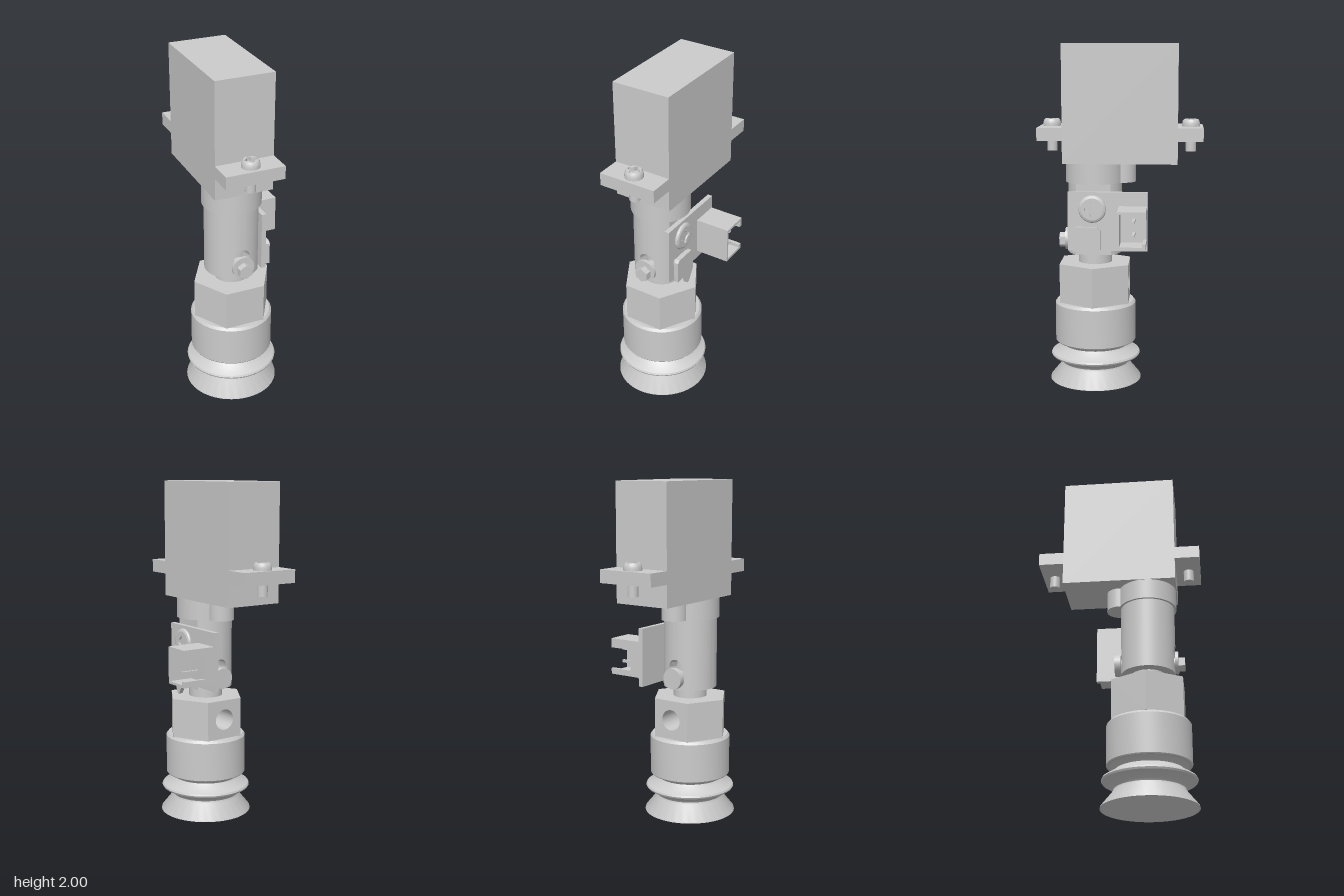
import * as THREE from 'three';
import { toCreasedNormals } from 'three/addons/utils/BufferGeometryUtils.js';

const AX = -0.042, AZ = 0.155; // vertical axis of the plunger and cup
const grey = new THREE.MeshStandardMaterial({ color: 0xcccccc, side: THREE.DoubleSide });
const V = (x, y) => new THREE.Vector2(x, y);
const poly = pts => new THREE.Shape(pts.map(p => V(p[0], p[1])));

function add(parent, name, geo, x = 0, y = 0, z = 0) {
  const m = new THREE.Mesh(geo, grey);
  m.name = name;
  m.position.set(x, y, z);
  parent.add(m);
  return m;
}
// box from its minimum and maximum corners
function box(parent, name, a, b) {
  const s = b.map((v, i) => v - a[i]);
  return add(parent, name, new THREE.BoxGeometry(...s), ...a.map((v, i) => v + s[i] / 2));
}
// upright cylinder from y0 to y1
const cyl = (parent, name, r, x, y0, y1, z) =>
  add(parent, name, new THREE.CylinderGeometry(r, r, y1 - y0, 48), x, (y0 + y1) / 2, z);
// cylinder along z from z0 to z1
function cylZ(parent, name, r, x, y, z0, z1, sides = 32) {
  const g = new THREE.CylinderGeometry(r, r, z1 - z0, sides).rotateX(Math.PI / 2);
  return add(parent, name, sides < 8 ? toCreasedNormals(g, 0.5) : g, x, y, (z0 + z1) / 2);
}
const lathe = pts => toCreasedNormals(new THREE.LatheGeometry(pts.map(p => V(...p)), 64), 0.5);
const extrude = (shape, depth) =>
  new THREE.ExtrudeGeometry(shape, { depth, bevelEnabled: false, curveSegments: 24 });

// rounded screw head with a cross recess, pointing up
function screwHead(name, r, h, crossLen) {
  const g = new THREE.Group();
  g.name = name;
  const top = r * 0.8, w = crossLen * 0.22;
  add(g, 'headRim', lathe([[0, 0], [r, 0], [r, h * 0.35], [r * 0.94, h * 0.75], [top, h]]));
  const face = new THREE.Shape().absarc(0, 0, top, 0, Math.PI * 2);
  const cross = new THREE.Path();
  for (let i = 0; i < 4; i++) {
    const a = i * Math.PI / 2, c = Math.cos(a), s = Math.sin(a);
    const p = (x, y) => [x * c - y * s, x * s + y * c];
    if (i === 0) cross.moveTo(...p(crossLen, -w));
    else cross.lineTo(...p(crossLen, -w));
    cross.lineTo(...p(crossLen, w));
    cross.quadraticCurveTo(...p(w * 1.3, w * 1.3), ...p(w, crossLen));
  }
  face.holes.push(cross);
  add(g, 'headFace', extrude(face, h * 0.6).rotateX(-Math.PI / 2), 0, h * 0.4, 0);
  add(g, 'recessFloor', new THREE.CircleGeometry(top, 32).rotateX(-Math.PI / 2), 0, h * 0.4, 0);
  return g;
}

// sleeve wall with a flat on +x and a rounded slot at front and back
function sleeveGeometry() {
  const R = 0.158, flat = 0.122, inner = 0.1, y0 = 0.78, y1 = 1.2, w = 0.05, lo = 0.85, hi = 0.91;
  const s = Math.asin(w / R), angles = [], pos = [];
  for (let side = 0; side < 2; side++) {
    const c = side * Math.PI;
    for (let i = 0; i < 12; i++) angles.push(c - s + 2 * s * i / 12);
    for (let i = 0; i < 40; i++) angles.push(c + s + (Math.PI - 2 * s) * i / 40);
  }
  angles.push(Math.PI * 2 - s);
  const P = (a, y, r = R) => [Math.min(flat, r * Math.sin(a)), y, r * Math.cos(a)];
  const quad = (a, b, c, d) => pos.push(...a, ...b, ...c, ...a, ...c, ...d);
  const bulge = a => Math.sqrt(Math.max(0, w * w - (R * Math.sin(a)) ** 2));
  for (let i = 0; i + 1 < angles.length; i++) {
    const a = angles[i], b = angles[i + 1];
    quad(P(a, y0, inner), P(b, y0, inner), P(b, y0), P(a, y0));
    if (i % 52 >= 12) {
      quad(P(a, y0), P(b, y0), P(b, y1), P(a, y1));
      continue;
    }
    const la = lo - bulge(a), lb = lo - bulge(b), ha = hi + bulge(a), hb = hi + bulge(b);
    quad(P(a, y0), P(b, y0), P(b, lb), P(a, la));
    quad(P(a, ha), P(b, hb), P(b, y1), P(a, y1));
    quad(P(a, la), P(b, lb), P(b, lb, inner), P(a, la, inner));
    quad(P(a, ha, inner), P(b, hb, inner), P(b, hb), P(a, ha));
    if (i % 52 === 0) quad(P(a, lo, inner), P(a, lo), P(a, hi), P(a, hi, inner));
    if (i % 52 === 11) quad(P(b, lo), P(b, lo, inner), P(b, hi, inner), P(b, hi));
  }
  const g = new THREE.BufferGeometry();
  g.setAttribute('position', new THREE.Float32BufferAttribute(pos, 3));
  return toCreasedNormals(g, 0.5);
}

export function createModel() {
  const model = new THREE.Group();
  model.name = 'suctionActuator';

  // motor housing with mounting ears and screws
  box(model, 'motorHousing', [-0.215, 1.32, -0.33], [0.13, 2, 0.33]);
  for (const s of [-1, 1]) {
    const ear = box(model, 'mountingEar', [-0.215, 1.45, -0.0725], [0.13, 1.525, 0.0725]);
    ear.position.z = s * 0.4025;
    const head = screwHead('earScrewHead', 0.052, 0.041, 0.038);
    head.position.set(AX, 1.525, s * 0.405);
    model.add(head);
    cyl(model, 'earScrewShank', 0.03, AX, 1.38, 1.46, s * 0.405);
  }
  cyl(model, 'outputBoss', 0.171, AX, 1.2, 1.32, AZ);
  cyl(model, 'gearBoss', 0.075, AX, 1.2, 1.32, -0.01);

  // slotted sleeve, plunger and cross bolt
  add(model, 'sleeve', sleeveGeometry(), AX, 0, AZ);
  cyl(model, 'plunger', 0.1, AX, 0.72, 1.15, AZ);
  cylZ(model, 'boltShank', 0.035, AX, 0.85, -0.03, 0.36);
  cylZ(model, 'boltWasher', 0.066, AX, 0.855, 0.312, 0.33);
  cylZ(model, 'boltNut', 0.044, AX, 0.845, 0.33, 0.367, 6);
  cylZ(model, 'boltHead', 0.062, AX, 0.85, -0.036, 0);

  // circuit board with its screw
  box(model, 'circuitBoard', [0.08, 0.81, -0.16], [0.108, 1.155, 0.303]);
  const boardScrew = screwHead('boardScrew', 0.08, 0.018, 0.042);
  boardScrew.rotation.z = -Math.PI / 2;
  boardScrew.position.set(0.108, 1.057, 0.16);
  model.add(boardScrew);

  // open socket with a notched rear wall and two pins
  const socket = new THREE.Group();
  socket.name = 'socket';
  model.add(socket);
  box(socket, 'socketBase', [0.108, 0.86, -0.157], [0.17, 1.075, 0.005]);
  box(socket, 'socketFrontWall', [0.17, 0.86, -0.008], [0.312, 1.075, 0.005]);
  box(socket, 'socketTop', [0.17, 1.06, -0.157], [0.312, 1.075, -0.008]);
  box(socket, 'socketBottom', [0.17, 0.86, -0.157], [0.312, 0.875, -0.008]);
  box(socket, 'socketRearLipTop', [0.17, 1.02, -0.157], [0.312, 1.06, -0.137]);
  box(socket, 'socketRearLipBottom', [0.17, 0.875, -0.157], [0.312, 0.895, -0.137]);
  for (const y of [0.93, 1.008])
    box(socket, 'pin', [0.16, y - 0.008, -0.093], [0.28, y + 0.008, -0.077]);

  // sensor tab on the board; outline given as z, y
  const tab = poly([[0.272, 0.81], [0.195, 0.81], [0.172, 0.747], [0.157, 0.747], [0.13, 0.79],
    [0.112, 0.82], [0.112, 0.935], [0.13, 0.955], [0.255, 0.955], [0.272, 0.94]].map(p => [-p[0], p[1]]));
  add(model, 'sensorTab', extrude(tab, 0.025).rotateY(Math.PI / 2), 0.123, 0, 0);
  box(model, 'sensorBase', [0.105, 0.82, 0.13], [0.125, 0.94, 0.255]);

  // hexagonal fitting with an air port on its rear face
  const r = 0.234, f = 0.202, h = 0.235, hexY = 0.485;
  const hex = poly([[r, 0], [r / 2, f], [-r / 2, f], [-r, 0], [-r / 2, -f], [-r / 2, 0], [r / 2, 0], [r / 2, -f]]);
  add(model, 'hexFitting', extrude(hex, h).rotateX(Math.PI / 2), AX, hexY + h, AZ);
  const portBlock = poly([[-r / 2, 0], [r / 2, 0], [r / 2, h], [-r / 2, h]]);
  portBlock.holes.push(new THREE.Path().absarc(0, h / 2, 0.062, 0, Math.PI * 2, true));
  add(model, 'airPort', toCreasedNormals(extrude(portBlock, f), 0.5), AX, hexY, AZ - f);

  // collar and hollow bellows cup
  add(model, 'collar', lathe([[0.11, 0.238], [0.236, 0.238], [0.24, 0.244], [0.24, 0.472], [0.228, 0.487], [0, 0.487]]), AX, 0, AZ);
  add(model, 'bellowsCup', lathe([[0, 0.3], [0.115, 0.3], [0.115, 0.125], [0.265, 0], [0.273, 0], [0.271, 0.008],
    [0.203, 0.092], [0.2, 0.104], [0.207, 0.115], [0.262, 0.147], [0.267, 0.157], [0.262, 0.167],
    [0.2, 0.203], [0.193, 0.213], [0.2, 0.222], [0.225, 0.24]]), AX, 0, AZ);
  return model;
}
